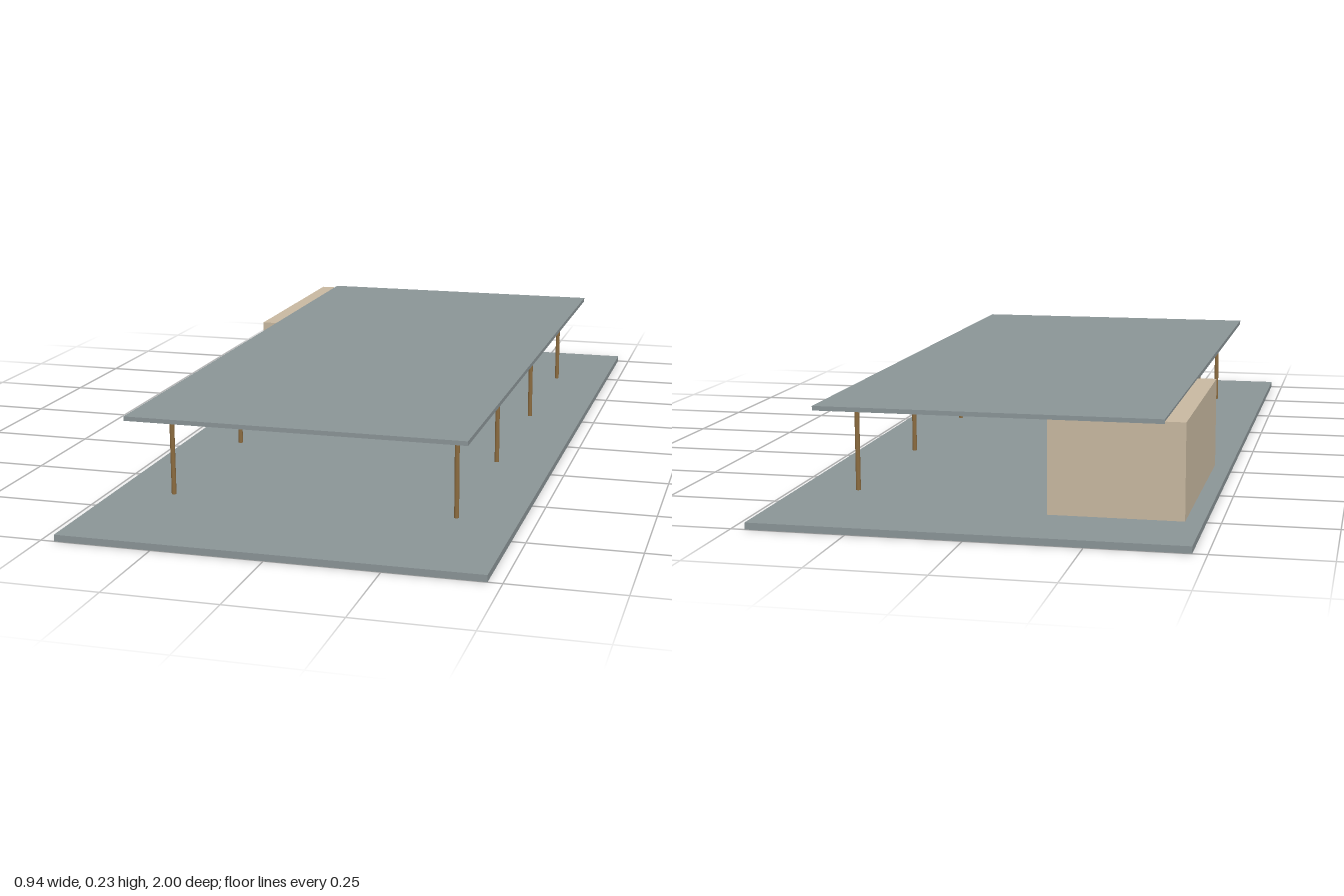
import * as THREE from 'three';

const concrete = new THREE.MeshStandardMaterial({ name: 'concrete grey', color: 0x8a9496 });
const plaster = new THREE.MeshStandardMaterial({ name: 'warm plaster', color: 0xc8b8a0 });
const bronze = new THREE.MeshStandardMaterial({ name: 'bronze brown', color: 0x8b6b3f });

// Box given by its minimum and maximum corners
function block(name, material, [x0, y0, z0], [x1, y1, z1]) {
  const mesh = new THREE.Mesh(new THREE.BoxGeometry(x1 - x0, y1 - y0, z1 - z0), material);
  mesh.position.set((x0 + x1) / 2, (y0 + y1) / 2, (z0 + z1) / 2);
  mesh.name = name;
  return mesh;
}

export function createModel() {
  const model = new THREE.Group();
  model.name = 'pavilion';

  // Floor slab and roof slab
  model.add(block('floorSlab', concrete, [-0.469, 0, -1], [0.469, 0.015, 1]));
  model.add(block('roofSlab', concrete, [-0.385, 0.221, -0.809], [0.385, 0.231, 0.809]));

  // Enclosed room at the back corner, with its door
  model.add(block('room', plaster, [-0.43, 0.015, -0.808], [-0.135, 0.226, -0.246]));
  model.add(block('door', bronze, [-0.315, 0.015, -0.246], [-0.248, 0.164, -0.241]));

  // Two rows of slender round columns
  const columns = new THREE.Group();
  columns.name = 'columns';
  const shaft = new THREE.CylinderGeometry(0.0055, 0.0055, 0.208, 12);
  for (const x of [-0.331, 0.331]) {
    for (const z of [-0.668, -0.224, 0.224, 0.668]) {
      const column = new THREE.Mesh(shaft, bronze);
      column.name = 'column';
      column.position.set(x, 0.118, z);
      columns.add(column);
    }
  }
  model.add(columns);
  return model;
}
